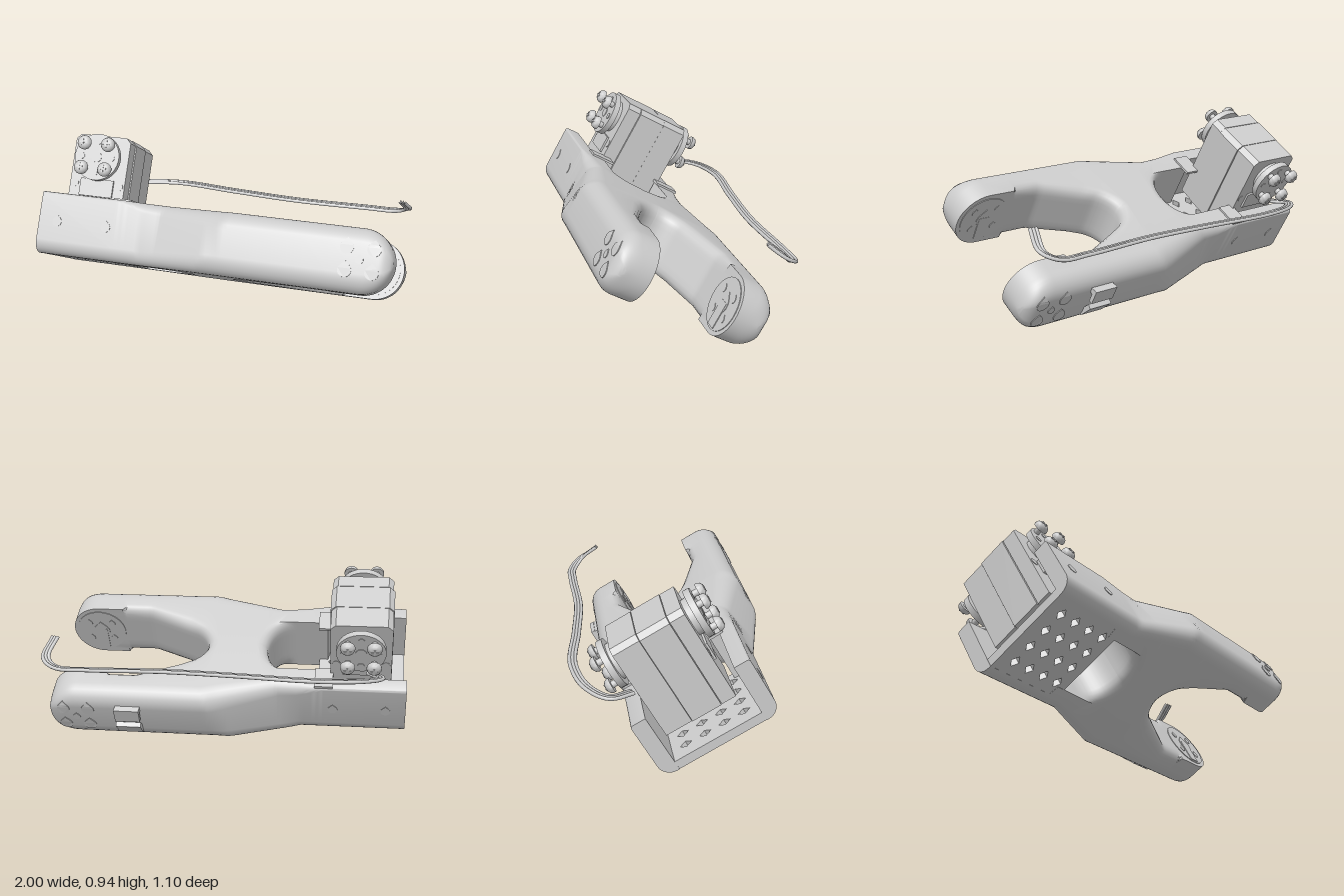
import * as THREE from 'three';
import { toCreasedNormals } from 'three/addons/utils/BufferGeometryUtils.js';

const MID = 0.25, HALF = 0.173; // thickness centre and half thickness of the link
const clamp = (v, a = 0, b = 1) => Math.min(b, Math.max(a, v));
const arcIn = (v, r) => r - Math.sqrt(Math.max(0, r * r - Math.max(0, v) ** 2));
const round = (t) => Math.sqrt(1 - (1 - clamp(t)) ** 2);

// Piecewise linear ramp through [x, value] pairs
function ramp(x, pairs) {
  for (let i = 1; i < pairs.length; i++) {
    const [x0, v0] = pairs[i - 1], [x1, v1] = pairs[i];
    if (x <= x1) return v0 + (v1 - v0) * clamp((x - x0) / (x1 - x0));
  }
  return pairs[pairs.length - 1][1];
}

export function createModel() {
  const grey = new THREE.MeshStandardMaterial({ color: 0xcccccc });
  grey.name = 'light grey';

  const model = new THREE.Group();
  model.name = 'robotArmLink';
  const tilt = new THREE.Group();
  tilt.name = 'tiltedAssembly';
  tilt.rotation.x = -Math.PI / 6;
  model.add(tilt);
  const frame = new THREE.Group(); // local z = 0 is the centre line of the link
  frame.name = 'link';
  frame.position.z = 0.265;
  tilt.add(frame);

  function add(parent, name, geo, x = 0, y = 0, z = 0) {
    const m = new THREE.Mesh(geo, grey);
    m.name = name;
    m.position.set(x, y, z);
    parent.add(m);
    return m;
  }
  const box = (w, h, d) => new THREE.BoxGeometry(w, h, d);
  const disc = (r, d, n = 32) => new THREE.CylinderGeometry(r, r, d, n).rotateX(Math.PI / 2);
  const plate = (shape, d) =>
    new THREE.ExtrudeGeometry(shape, { depth: d, bevelEnabled: false, curveSegments: 10 }).translate(0, 0, -d / 2);

  function teardrop(r) {
    const s = new THREE.Shape();
    s.absarc(0, 0, r, Math.PI * 0.75, Math.PI * 2.25, false);
    s.lineTo(0, r * 1.414);
    s.closePath();
    return s;
  }

  // Outer half width, with a slanted flare from the channel end to the fork end
  const flare = (x, y) => clamp((x + 0.35 - (y - MID) * 0.48) / 0.39);
  const outer = (x, y) => 0.337 + 0.12 * flare(x, y) - (x > 0.92 ? arcIn(x - 0.92, 0.08) * 0.9 : 0);
  const squash = (x) => (x > 0.83 ? Math.sqrt(Math.max(0, 1 - ((x - 0.83) / 0.17) ** 2)) : 1);

  // Inner half width: servo pocket, slot with a round end, bridge, widening fork
  function inner(x) {
    if (x < -0.555) return 0.25;
    if (x < 0) return 0.19 * round((-0.22 - x) / 0.14);
    if (x <= 0.13) return 0;
    return Math.min(0.255, 0.09 * round((x - 0.13) / 0.09) + 0.165 * clamp((x - 0.13) / 0.38));
  }

  // Closed cross-section of one half of the link
  function section(x) {
    const pts = [], f = flare(x, MID);
    for (const s of [-1, 1]) {
      const r = s < 0 ? 0.075 + 0.025 * f : ramp(x, [[-0.55, 0.015], [-0.4, 0.06], [0.04, 0.1]]);
      for (let i = 0; i <= 7; i++) {
        const a = ((s < 0 ? i - 7 : i) / 7) * Math.PI / 2;
        const y = MID + s * (HALF - r) + r * Math.sin(a);
        pts.push([x, y, outer(x, y) - r + r * Math.cos(a)]);
      }
    }
    // inner wall, with its edges rolled over around the slot end and the fork
    const along = ramp(x, [[-0.5, 0], [-0.36, 1], [-0.22, 1], [0.13, -1], [0.3, -1], [0.56, 0]]);
    const across = ramp(x, [[0.14, 0], [0.28, 0.8], [0.66, 0.8], [0.68, 0]]);
    for (let i = 0; i <= 14; i++) {
      const y = MID + HALF * Math.cos((i / 14) * Math.PI);
      const roll = arcIn(Math.abs(y - MID) - (HALF - 0.06), 0.06);
      pts.push([x + roll * along, y, inner(x) + roll * across]);
    }
    return pts.map(([px, y, z]) => [px, MID + (y - MID) * squash(x), z]);
  }

  function halfLink() {
    const xs = [-1, -0.56, -0.55];
    for (let x = -0.54; x < 0.56; x += 0.02) xs.push(x);
    for (let i = 0; i < 12; i++) {
      const c = 1 - Math.cos((i / 12) * Math.PI / 2);
      xs.push(-0.22 - 0.14 * c, 0.13 + 0.09 * c);
    }
    xs.push(0.66, 0.68);
    for (let i = 0; i <= 20; i++) xs.push(0.83 + 0.17 * Math.sin((i / 20) * Math.PI / 2));
    xs.sort((a, b) => a - b);
    const rings = xs.map(section), n = rings[0].length, idx = [];
    for (let i = 0; i < rings.length - 1; i++) {
      for (let j = 0; j < n; j++) {
        const k = (j + 1) % n;
        const a = i * n + j, b = i * n + k, c = a + n, d = b + n;
        idx.push(a, c, b, b, c, d);
      }
    }
    for (let j = 1; j < n - 1; j++) idx.push(0, j, j + 1);
    const g = new THREE.BufferGeometry();
    g.setAttribute('position', new THREE.Float32BufferAttribute(rings.flat(2), 3));
    g.setIndex(idx);
    return toCreasedNormals(g, 0.6);
  }
  const halfGeo = halfLink();

  // Teardrop screw seat that follows the rounded arm side
  function armSeat(x, y, r) {
    const g = plate(teardrop(r), 0.008).translate(x, y, 0), p = g.attributes.position;
    for (let i = 0; i < p.count; i++) {
      const px = p.getX(i), dy = Math.abs(p.getY(i) - MID) / squash(px);
      p.setZ(i, p.getZ(i) + outer(px, MID) - arcIn(dy - (HALF - 0.1), 0.1));
    }
    g.computeVertexNormals();
    return g;
  }

  // Two mirrored halves, each with a rail, a fork arm and their holes
  for (const side of [1, -1]) {
    const half = new THREE.Group();
    half.name = side > 0 ? 'frontHalf' : 'backHalf';
    half.scale.z = side;
    frame.add(half);
    add(half, 'railAndArm', halfGeo);
    for (const x of [-0.89, -0.6]) add(half, 'railHole', plate(teardrop(0.027), 0.006), x, 0.26, 0.337);
    for (const dx of [-0.07, 0.07]) {
      for (const dy of [-0.06, 0.06]) {
        add(half, 'armHole', armSeat(0.83 + dx, MID + dy, 0.036));
        add(half, 'hornScrewHole', plate(teardrop(0.02), 0.008), 0.83 + dx, MID + dy, 0.252);
      }
    }
    add(half, 'armCentreHole', armSeat(0.83, MID, 0.021));
    add(half, 'hornSeat', disc(0.148, 0.006, 40), 0.83, MID, 0.254);
    add(half, 'hornKeyhole', plate(teardrop(0.05), 0.008), 0.83, MID, 0.252);
    add(half, 'hornKeyway', box(0.07, 0.15, 0.009), 0.83, MID - 0.06, 0.251);
    add(half, 'servoMountPad', box(0.1, 0.014, 0.14), -0.55, MID + HALF + 0.004, side > 0 ? 0.2 : 0.262);
  }

  // Perforated channel floor
  const floor = new THREE.Shape();
  floor.moveTo(-0.998, -0.252);
  floor.lineTo(-0.5, -0.252);
  floor.lineTo(-0.5, 0.252);
  floor.lineTo(-0.998, 0.252);
  for (let i = 0; i < 4; i++) {
    for (let j = 0; j < 4; j++) {
      const x = -0.9 + i * 0.107, y = -0.17 + j * 0.113, h = new THREE.Path();
      h.moveTo(x - 0.026, y);
      h.lineTo(x, y + 0.034);
      h.lineTo(x + 0.026, y);
      h.lineTo(x, y - 0.034);
      floor.holes.push(h);
    }
  }
  add(frame, 'channelFloor', plate(floor, 0.05).rotateX(-Math.PI / 2), 0, MID - HALF + 0.026, 0);

  // Cable clips on the back arm
  add(frame, 'upperClip', box(0.14, 0.03, 0.04), 0.53, 0.33, -0.46);
  add(frame, 'upperClipLip', box(0.14, 0.085, 0.024), 0.53, 0.307, -0.484);
  const lower = add(frame, 'lowerClip', box(0.14, 0.1, 0.028), 0.53, 0.192, -0.468);
  lower.rotation.x = -0.46;

  // Servo motor: chamfered slabs separated by fine seams
  const servo = new THREE.Group();
  servo.name = 'servo';
  servo.position.set(-0.75, 0, -0.023);
  frame.add(servo);
  function caseShape(w, t, c) {
    const s = new THREE.Shape(), b = 0.235;
    s.moveTo(-w, b);
    s.lineTo(w, b);
    s.lineTo(w, t - c);
    s.lineTo(w - c, t);
    s.lineTo(c - w, t);
    s.lineTo(-w, t - c);
    s.closePath();
    return s;
  }
  add(servo, 'servoCore', plate(caseShape(0.155, 0.775, 0.028), 0.38));
  for (const [a, b, w] of [[-0.202, -0.053, 0.166], [-0.05, 0.117, 0.172], [0.12, 0.202, 0.166]])
    add(servo, 'servoCase', plate(caseShape(w, 0.79, 0.028), b - a), 0, 0, (a + b) / 2);

  // Output horn and idler horn with their screws
  const headProfile = [[0, 0], [0.04, 0], [0.04, 0.012], [0.034, 0.026], [0.022, 0.034], [0, 0.036]]
    .map(([r, y]) => new THREE.Vector2(r, y));
  const headGeo = toCreasedNormals(new THREE.LatheGeometry(headProfile, 24).rotateX(Math.PI / 2), 0.7);
  for (const side of [1, -1]) {
    const horn = new THREE.Group();
    horn.name = side > 0 ? 'outputHorn' : 'idlerHorn';
    horn.position.y = 0.657;
    horn.scale.z = side;
    servo.add(horn);
    add(horn, 'hornHub', disc(0.1, 0.05), 0, 0, 0.215);
    add(horn, 'hornDisc', disc(0.133, 0.035, 40), 0, 0, 0.252);
    add(horn, 'hornCentre', disc(0.03, 0.006, 20), 0, 0, 0.27);
    for (let i = 0; i < 4; i++) {
      const a = (i * Math.PI) / 2;
      add(horn, 'hornHole', disc(0.018, 0.006, 16), 0.09 * Math.cos(a), 0.09 * Math.sin(a), 0.27);
      const x = 0.1 * Math.cos(a + Math.PI / 4), y = 0.1 * Math.sin(a + Math.PI / 4);
      add(horn, 'screwShaft', disc(0.018, 0.05, 16), x, y, 0.285);
      add(horn, 'screwHead', headGeo, x, y, 0.3);
      add(horn, 'screwSlot', box(0.04, 0.009, 0.006), x, y, 0.335);
      add(horn, 'screwSlot', box(0.009, 0.04, 0.006), x, y, 0.335);
    }
    for (const x of [-0.135, 0.135]) add(horn, 'caseScrew', disc(0.022, 0.01, 16), x, -0.15, 0.2);
    add(horn, 'caseLedge', box(0.2, 0.1, 0.016), 0, -0.17, 0.206);
  }

  // Three-wire ribbon cable
  const path = new THREE.CatmullRomCurve3([
    [-0.8, 0.42, -0.24], [-0.855, 0.425, -0.36], [-0.75, 0.435, -0.465], [-0.5, 0.445, -0.525],
    [-0.1, 0.447, -0.487], [0.3, 0.447, -0.455], [0.72, 0.445, -0.468], [0.89, 0.45, -0.462],
    [0.96, 0.49, -0.41], [0.935, 0.58, -0.3],
  ].map((p) => new THREE.Vector3(...p)));
  const cable = new THREE.Group();
  cable.name = 'cable';
  model.add(cable);
  for (const k of [-1, 0, 1]) {
    const pts = [];
    for (let i = 0; i <= 50; i++) {
      const t = path.getTangent(i / 50);
      const off = new THREE.Vector3(t.z, 0, -t.x).normalize().multiplyScalar(k * 0.016);
      pts.push(path.getPoint(i / 50).add(off));
    }
    add(cable, 'wire', new THREE.TubeGeometry(new THREE.CatmullRomCurve3(pts), 100, 0.01, 8));
  }
  return model;
}
